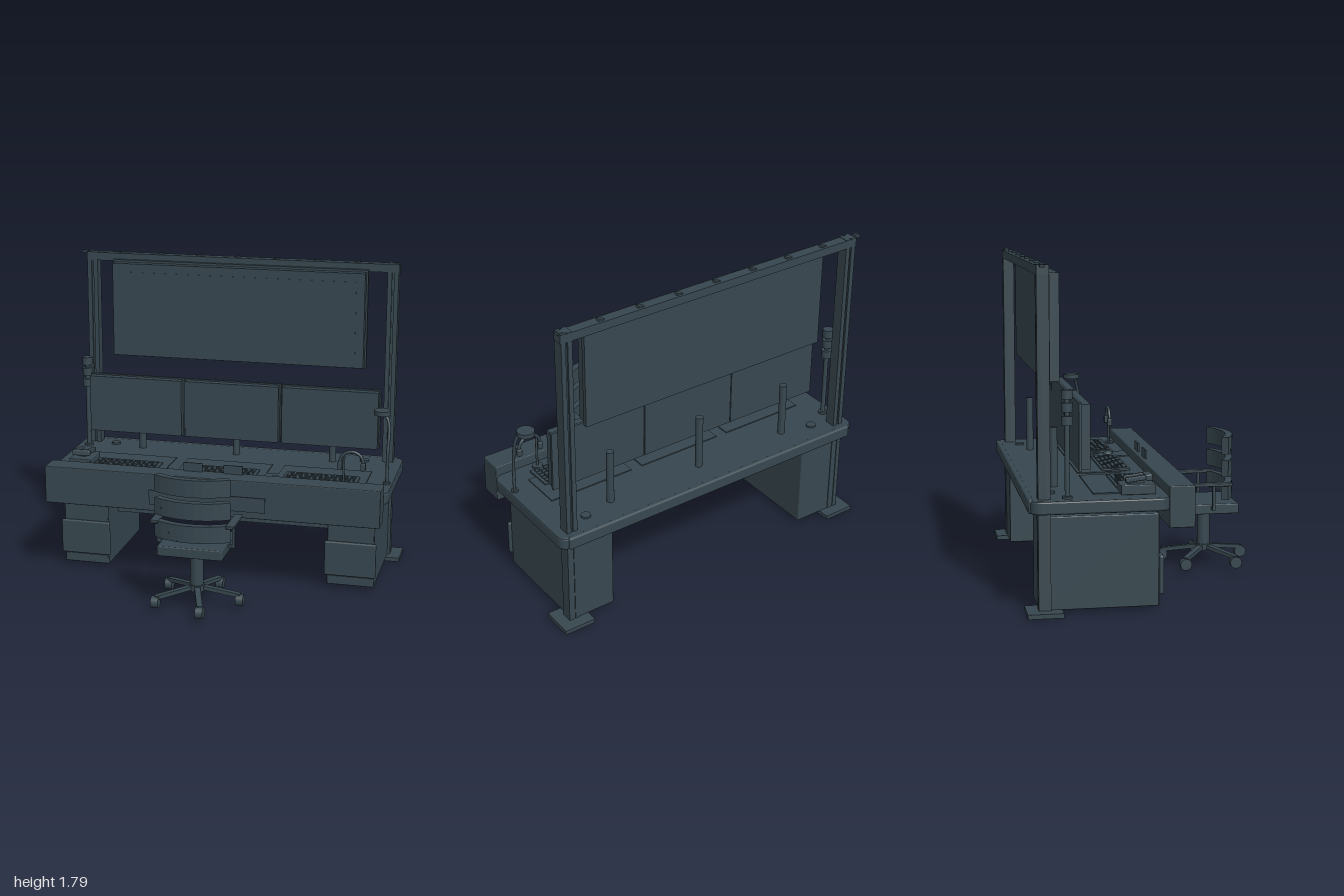
import * as THREE from 'three';
import { RoundedBoxGeometry } from 'three/addons/geometries/RoundedBoxGeometry.js';

const slate = new THREE.MeshStandardMaterial({ color: 0x37474f });
slate.name = 'dark slate';

function add(parent, name, geometry, x = 0, y = 0, z = 0) {
  const mesh = new THREE.Mesh(geometry, slate);
  mesh.name = name;
  mesh.position.set(x, y, z);
  parent.add(mesh);
  return mesh;
}

// Box given by its limits on each axis
function box(parent, name, x0, x1, y0, y1, z0, z1, r = 0) {
  const s = [x1 - x0, y1 - y0, z1 - z0];
  const g = r ? new RoundedBoxGeometry(...s, 2, r) : new THREE.BoxGeometry(...s);
  return add(parent, name, g, (x0 + x1) / 2, (y0 + y1) / 2, (z0 + z1) / 2);
}

function cyl(parent, name, r, y0, y1, x, z, sides = 24) {
  return add(parent, name, new THREE.CylinderGeometry(r, r, y1 - y0, sides), x, (y0 + y1) / 2, z);
}

function tube(parent, name, points, r) {
  const curve = new THREE.CatmullRomCurve3(points.map(p => new THREE.Vector3(...p)));
  return add(parent, name, new THREE.TubeGeometry(curve, 32, r, 10), 0, 0, 0);
}

function group(parent, name) {
  const g = new THREE.Group();
  g.name = name;
  parent.add(g);
  return g;
}

function buildDesk(root) {
  const desk = group(root, 'desk');
  // Worktop with rounded corners and a soft edge
  const w = 0.98, f = 0.03, b = 0.665, r = 0.05;
  const s = new THREE.Shape();
  s.moveTo(-w + r, -f);
  s.lineTo(w - r, -f);
  s.quadraticCurveTo(w, -f, w, -f + r);
  s.lineTo(w, b - r);
  s.quadraticCurveTo(w, b, w - r, b);
  s.lineTo(-w + r, b);
  s.quadraticCurveTo(-w, b, -w, b - r);
  s.lineTo(-w, -f + r);
  s.quadraticCurveTo(-w, -f, -w + r, -f);
  const top = new THREE.ExtrudeGeometry(s, {
    depth: 0.05, bevelThickness: 0.01, bevelSize: 0.01, bevelSegments: 2, curveSegments: 8,
  });
  top.rotateX(-Math.PI / 2);
  add(desk, 'worktop', top, 0, 0.54, 0);
  box(desk, 'rearEdgeTrim', -0.95, 0.95, 0.53, 0.603, -0.685, -0.655, 0.012);
  box(desk, 'frontFascia', -0.97, 0.97, 0.437, 0.655, 0.035, 0.17, 0.005);
  box(desk, 'namePlate', -0.335, 0.335, 0.49, 0.575, 0.205, 0.215);
  for (const x of [-0.117, 0.117]) box(desk, 'smallSign', x - 0.055, x + 0.055, 0.655, 0.705, 0.053, 0.061);

  for (const side of [-1, 1]) {
    const p = group(desk, side < 0 ? 'rightPedestal' : 'leftPedestal');
    const c = side * 0.785;
    box(p, 'cabinet', c - 0.135, c + 0.135, 0.02, 0.507, -0.63, -0.01, 0.006);
    box(p, 'drawerFront', c - 0.147, c + 0.147, 0.083, 0.285, -0.008, 0.016, 0.008);
    box(p, 'upperDrawer', c - 0.13, c + 0.13, 0.295, 0.5, -0.012, -0.005);
    box(p, 'toePanel', c - 0.13, c + 0.13, 0.025, 0.075, -0.012, -0.005);
    cyl(desk, 'cableGrommet', 0.027, 0.6, 0.611, side * 0.77, -0.555);
  }

  // Open cable tray between the pedestals
  box(desk, 'trayBack', -0.65, 0.65, 0.29, 0.375, -0.345, -0.335);
  box(desk, 'trayFloor', -0.65, 0.65, 0.29, 0.3, -0.345, -0.19);
  box(desk, 'trayLip', -0.65, 0.65, 0.29, 0.335, -0.2, -0.19);
}

function buildGantry(root) {
  const gantry = group(root, 'gantry');
  // Slotted post section
  const h = 0.032, g = 0.006, d = 0.01;
  const s = new THREE.Shape([
    [-h, -h], [-g, -h], [-g, -h + d], [g, -h + d], [g, -h], [h, -h],
    [h, h], [g, h], [g, h - d], [-g, h - d], [-g, h], [-h, h],
  ].map(p => new THREE.Vector2(...p)));
  for (const side of [-1, 1]) {
    const post = new THREE.ExtrudeGeometry(s, { depth: 1.76, bevelEnabled: false });
    post.rotateX(-Math.PI / 2);
    add(gantry, 'post', post, side * 0.904, 0.02, -0.602);
    box(gantry, 'footPlate', side * 0.908 - 0.092, side * 0.908 + 0.092, 0, 0.024, -0.697, -0.512);
  }
  box(gantry, 'topBeam', -0.94, 0.94, 1.73, 1.777, -0.634, -0.575);
  for (let i = 0; i < 9; i++) {
    const clip = box(gantry, 'cableClip', -0.022, 0.012, 1.77, 1.785, -0.62, -0.595);
    clip.position.x = -0.96 + i * 0.236;
    clip.rotation.z = 0.2;
  }
  // Large overhead screen
  box(gantry, 'screenBackPlate', -0.765, 0.765, 1.162, 1.743, -0.572, -0.548);
  box(gantry, 'screenBody', -0.755, 0.755, 1.175, 1.73, -0.55, -0.497);
  box(gantry, 'screenFace', -0.705, 0.705, 1.222, 1.68, -0.499, -0.495);
}

function buildMonitors(root) {
  const m = group(root, 'monitors');
  for (let i = -1; i <= 1; i++) {
    const x = i * 0.585 + 0.004;
    box(m, 'monitorBack', x - 0.29, x + 0.29, 0.727, 1.078, -0.415, -0.4);
    box(m, 'monitorBody', x - 0.282, x + 0.282, 0.735, 1.07, -0.402, -0.355);
    cyl(m, 'monitorPole', 0.021, 0.6, 0.915, i * 0.585, -0.512);
    // Desk mat and keyboard
    box(m, 'deskMat', x - 0.257, x + 0.257, 0.598, 0.606, -0.34, -0.1);
    const k = group(m, 'keyboard');
    box(k, 'keyboardBase', x - 0.218, x + 0.212, 0.6, 0.614, -0.2, -0.04, 0.003);
    for (let r = 0; r < 5; r++) for (let c = 0; c < 14; c++) {
      const kx = x - 0.2 + c * 0.0285, kz = -0.185 + r * 0.027;
      box(k, 'key', kx, kx + 0.023, 0.612, 0.62, kz, kz + 0.021);
    }
  }
  box(m, 'mousePad', 0.25, 0.415, 0.6, 0.605, -0.17, 0.03);
  const mouse = add(m, 'mouse', new THREE.SphereGeometry(0.028, 20, 12), 0.33, 0.607, -0.08);
  mouse.scale.y = 0.55;
}

function buildAccessories(root) {
  const a = group(root, 'accessories');
  // Stacked signal light
  cyl(a, 'signalPole', 0.013, 0.6, 1.14, -0.92, -0.483);
  for (const y of [0.975, 1.043, 1.108]) cyl(a, 'signalLight', 0.03, y, y + 0.047, -0.92, -0.483);
  cyl(a, 'signalBase', 0.026, 0.6, 0.612, -0.92, -0.483);

  // Bent desk lamp
  tube(a, 'lampStem', [[0.96, 0.6, -0.145], [0.96, 0.69, -0.145], [0.96, 0.78, -0.147],
    [0.96, 0.93, -0.177], [0.945, 0.975, -0.19], [0.915, 0.995, -0.21]], 0.009);
  cyl(a, 'lampHead', 0.048, 0.985, 1.01, 0.915, -0.215);
  cyl(a, 'lampBase', 0.02, 0.6, 0.612, 0.96, -0.145);

  // Desk telephone
  const p = group(a, 'telephone');
  box(p, 'phoneBase', -0.888, -0.758, 0.6, 0.652, -0.2, -0.02, 0.005);
  const handset = group(p, 'handset');
  handset.position.set(-0.822, 0.675, -0.105);
  handset.rotation.x = -0.12;
  for (const x of [-0.035, 0.035]) box(handset, 'grip', x - 0.013, x + 0.013, -0.008, 0.018, -0.07, 0.07, 0.005);
  box(handset, 'earpiece', -0.052, 0.052, -0.015, 0.02, 0.035, 0.072, 0.008);
  box(handset, 'dialPad', -0.02, 0.02, -0.025, -0.01, -0.06, 0.03);

  // Headset hanging on its stand
  const h = group(a, 'headset');
  cyl(h, 'standBase', 0.03, 0.6, 0.61, 0.735, -0.01);
  cyl(h, 'standPole', 0.007, 0.6, 0.79, 0.735, -0.01, 12);
  add(h, 'headband', new THREE.TorusGeometry(0.066, 0.009, 8, 28, Math.PI), 0.778, 0.75, -0.008);
  for (const s of [-1, 1]) box(h, 'earCup', 0.778 + s * 0.066 - 0.014, 0.778 + s * 0.066 + 0.014, 0.71, 0.755, -0.023, 0.007, 0.006);
}

function buildChair(root) {
  const chair = group(root, 'chair');
  chair.position.set(0, 0, 0.425);
  // Five-star base with castors
  for (let i = 0; i < 5; i++) {
    const t = i * Math.PI * 0.4;
    const x = Math.cos(t) * 0.245, z = Math.sin(t) * 0.245;
    const leg = add(chair, 'baseLeg', new THREE.BoxGeometry(0.25, 0.022, 0.032),
      x * 0.5, 0.096, z * 0.5);
    leg.rotation.set(0, -t, -0.14, 'YXZ');
    const wheel = add(chair, 'castor', new THREE.CylinderGeometry(0.033, 0.033, 0.042, 20), x, 0.052, z);
    wheel.rotation.z = Math.PI / 2;
  }
  cyl(chair, 'hub', 0.045, 0.09, 0.125, 0, 0);
  cyl(chair, 'column', 0.037, 0.1, 0.335, 0, 0);
  box(chair, 'seat', -0.182, 0.182, 0.33, 0.387, -0.165, 0.165, 0.006);
  for (const s of [-1, 1]) {
    box(chair, 'armrest', s * 0.212 - 0.022, s * 0.212 + 0.022, 0.497, 0.515, -0.1, 0.115, 0.004);
    box(chair, 'armPost', s * 0.212 - 0.008, s * 0.212 + 0.008, 0.365, 0.5, 0.005, 0.021);
    box(chair, 'armBracket', s * 0.195 - 0.025, s * 0.195 + 0.025, 0.358, 0.374, 0.005, 0.021);
  }
  // Curved backrest in three bands of upright blocks
  for (const y of [0.463, 0.593, 0.722]) {
    for (let i = -4; i <= 4; i++) {
      const t = i * 0.125;
      const block = add(chair, 'backrestBlock', new THREE.BoxGeometry(0.052, 0.096, 0.04),
        Math.sin(t) * 0.375, y, 0.135 - 0.375 * (1 - Math.cos(t)));
      block.rotation.y = t;
    }
  }
}

export function createModel() {
  const root = new THREE.Group();
  root.name = 'controlDesk';
  buildDesk(root);
  buildGantry(root);
  buildMonitors(root);
  buildAccessories(root);
  buildChair(root);
  return root;
}
